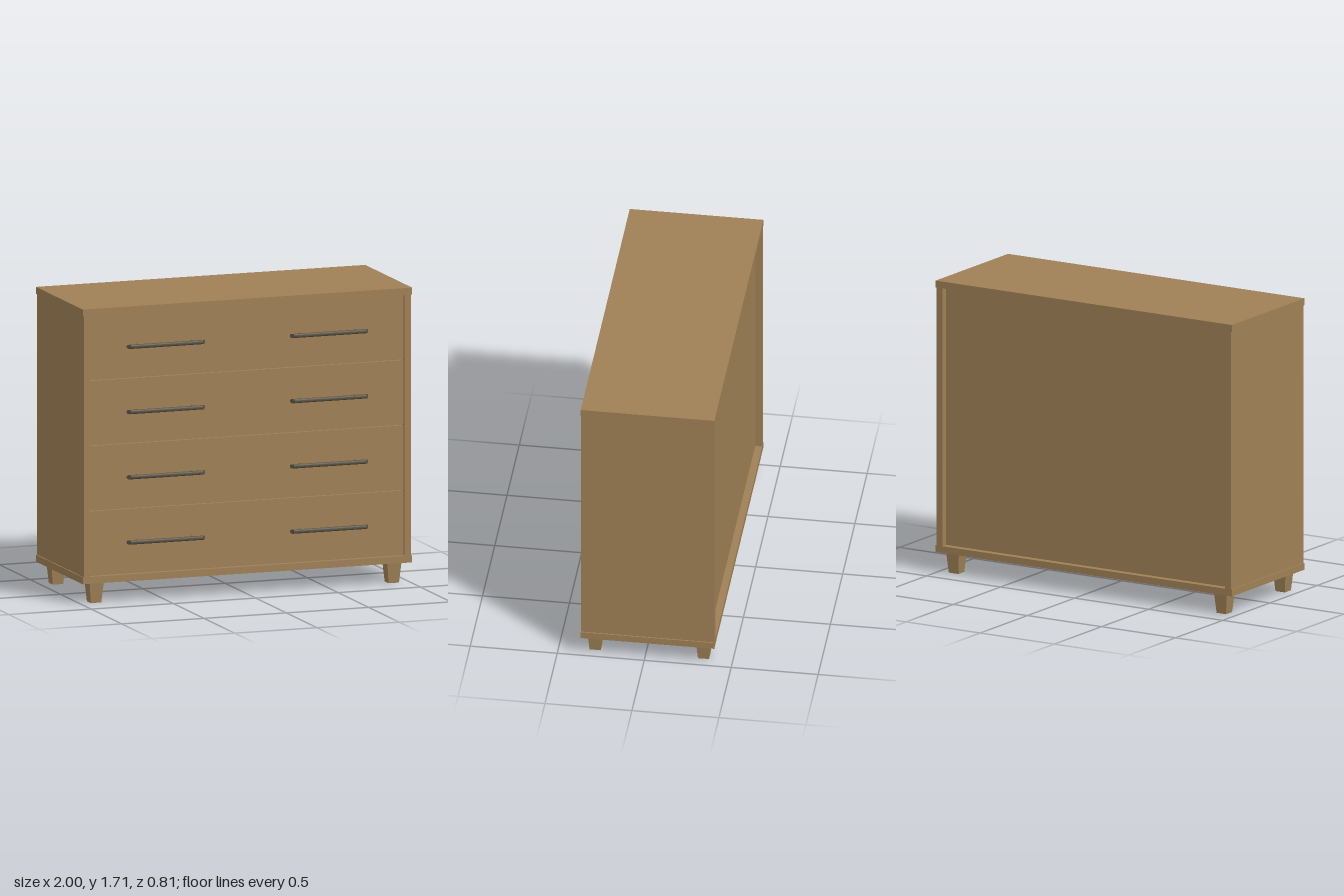
import * as THREE from 'three';
import { toCreasedNormals } from 'three/addons/utils/BufferGeometryUtils.js';

const wood = new THREE.MeshStandardMaterial({ name: 'wood', color: 0x9f8055 });
const metal = new THREE.MeshStandardMaterial({ name: 'dark metal', color: 0x5a5343 });

const FRONT = 0.365, BACK = -0.403;      // carcass depth limits
const LOW = 0.16, HIGH = 1.67;           // opening between the two boards
const INNER = 0.955;                     // inner face of the side panels

// Box given by its limits on each axis
function box(name, x0, x1, y0, y1, z0, z1) {
  const mesh = new THREE.Mesh(new THREE.BoxGeometry(x1 - x0, y1 - y0, z1 - z0), wood);
  mesh.position.set((x0 + x1) / 2, (y0 + y1) / 2, (z0 + z1) / 2);
  mesh.name = name;
  return mesh;
}

// Square leg, narrower at the foot
function leg(x, z) {
  const height = 0.12, geo = new THREE.BoxGeometry(0.086, height, 0.086);
  const p = geo.attributes.position;
  for (let i = 0; i < p.count; i++) {
    if (p.getY(i) < 0) {
      p.setX(i, p.getX(i) * 0.74);
      p.setZ(i, p.getZ(i) * 0.74);
    }
  }
  const mesh = new THREE.Mesh(toCreasedNormals(geo, 0.3), wood);
  mesh.position.set(x, height / 2, z);
  mesh.name = 'leg';
  return mesh;
}

// Round bar with mitred ends, shorter at the front
function barGeometry() {
  const geo = new THREE.CylinderGeometry(0.0125, 0.0125, 0.455, 16);
  geo.rotateZ(Math.PI / 2);
  const p = geo.attributes.position;
  for (let i = 0; i < p.count; i++) {
    p.setX(i, Math.sign(p.getX(i)) * (0.2275 - p.getZ(i) * 0.85));
  }
  return toCreasedNormals(geo, 0.6);
}

const barGeo = barGeometry();
const postGeo = new THREE.CylinderGeometry(0.008, 0.008, 0.05, 12).rotateX(Math.PI / 2);

// Bar on two posts
function handle(x, y) {
  const group = new THREE.Group();
  group.name = 'handle';
  const bar = new THREE.Mesh(barGeo, metal);
  bar.name = 'handleBar';
  group.add(bar);
  for (const side of [-1, 1]) {
    const post = new THREE.Mesh(postGeo, metal);
    post.name = 'handlePost';
    post.position.set(side * 0.167, 0, -0.025);
    group.add(post);
  }
  group.position.set(x, y, 0.391);
  return group;
}

export function createModel() {
  const model = new THREE.Group();
  model.name = 'chestOfDrawers';

  // Carcass: boards overhang the side panels slightly
  model.add(
    box('topBoard', -1, 1, HIGH, 1.71, BACK, FRONT),
    box('bottomBoard', -1, 1, 0.12, LOW, BACK, FRONT),
    box('leftPanel', INNER, 0.993, LOW, HIGH, BACK, FRONT),
    box('rightPanel', -0.993, -INNER, LOW, HIGH, BACK, FRONT),
    box('backPanel', -INNER, INNER, LOW, HIGH, BACK + 0.04, BACK + 0.06)
  );

  // Four drawers, two handles each
  const pitch = (HIGH - LOW) / 4, gap = 0.002;
  for (let i = 0; i < 4; i++) {
    const y = LOW + i * pitch;
    const drawer = new THREE.Group();
    drawer.name = 'drawer';
    drawer.add(
      box('drawerFront', -INNER + gap, INNER - gap, y + gap, y + pitch - gap, 0.31, 0.347),
      handle(-0.501, y + pitch / 2),
      handle(0.49, y + pitch / 2)
    );
    model.add(drawer);
  }

  // Legs
  for (const x of [-0.904, 0.904]) {
    for (const z of [0.291, -0.332]) model.add(leg(x, z));
  }
  return model;
}
